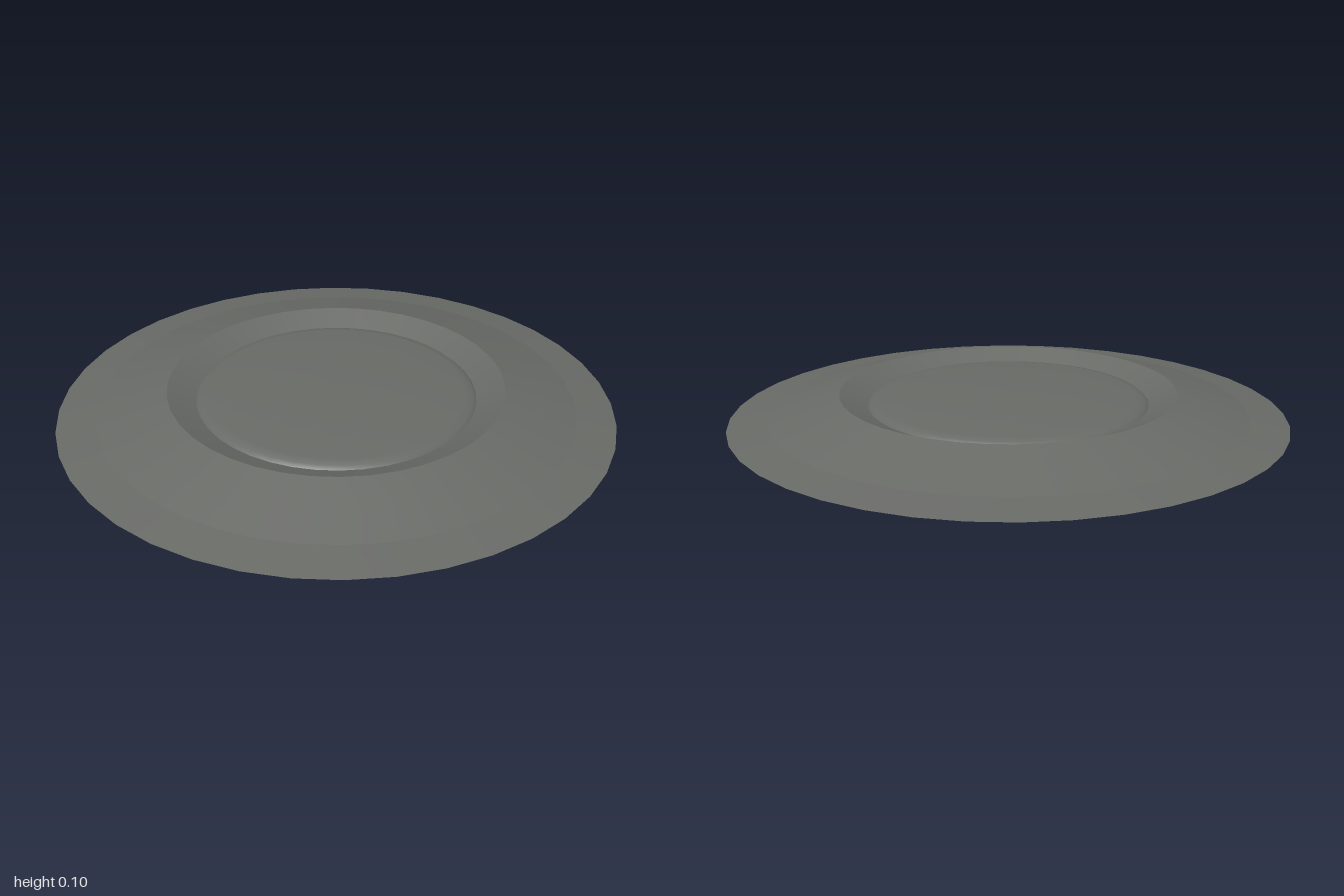
import * as THREE from 'three';

const SEGMENTS = 40;

// Revolves a [radius, height] profile; separate bands keep their shared edges crisp.
function band(name, profile, material) {
  const points = profile.map(([r, y]) => new THREE.Vector2(r, y));
  const mesh = new THREE.Mesh(new THREE.LatheGeometry(points, SEGMENTS), material);
  mesh.name = name;
  return mesh;
}

export function createModel() {
  const group = new THREE.Group();
  group.name = 'shallowDisc';

  // Thin open shell, seen from above and below
  const grey = new THREE.MeshStandardMaterial({ color: 0x686a66, side: THREE.DoubleSide });
  grey.name = 'warm grey';

  group.add(
    // Flared skirt with a gentler outer lip
    band('outerLip', [[1, 0], [0.86, 0.023]], grey),
    band('slopedSkirt', [[0.86, 0.023], [0.6, 0.1]], grey),
    // Bevel dropping inward from the crest to the groove
    band('innerBevel', [[0.604, 0.1], [0.503, 0.057]], grey),
    // Shallow domed centre with a rounded shoulder
    band('centreDome', [
      [0.503, 0.057], [0.49, 0.069], [0.46, 0.075], [0.36, 0.082],
      [0.24, 0.087], [0.12, 0.09], [0, 0.091],
    ], grey),
  );
  group.getObjectByName('slopedSkirt').geometry.dispose();
  group.getObjectByName('slopedSkirt').geometry =
    new THREE.LatheGeometry([new THREE.Vector2(0.86, 0.023), new THREE.Vector2(0.604, 0.1)], SEGMENTS);
  return group;
}
